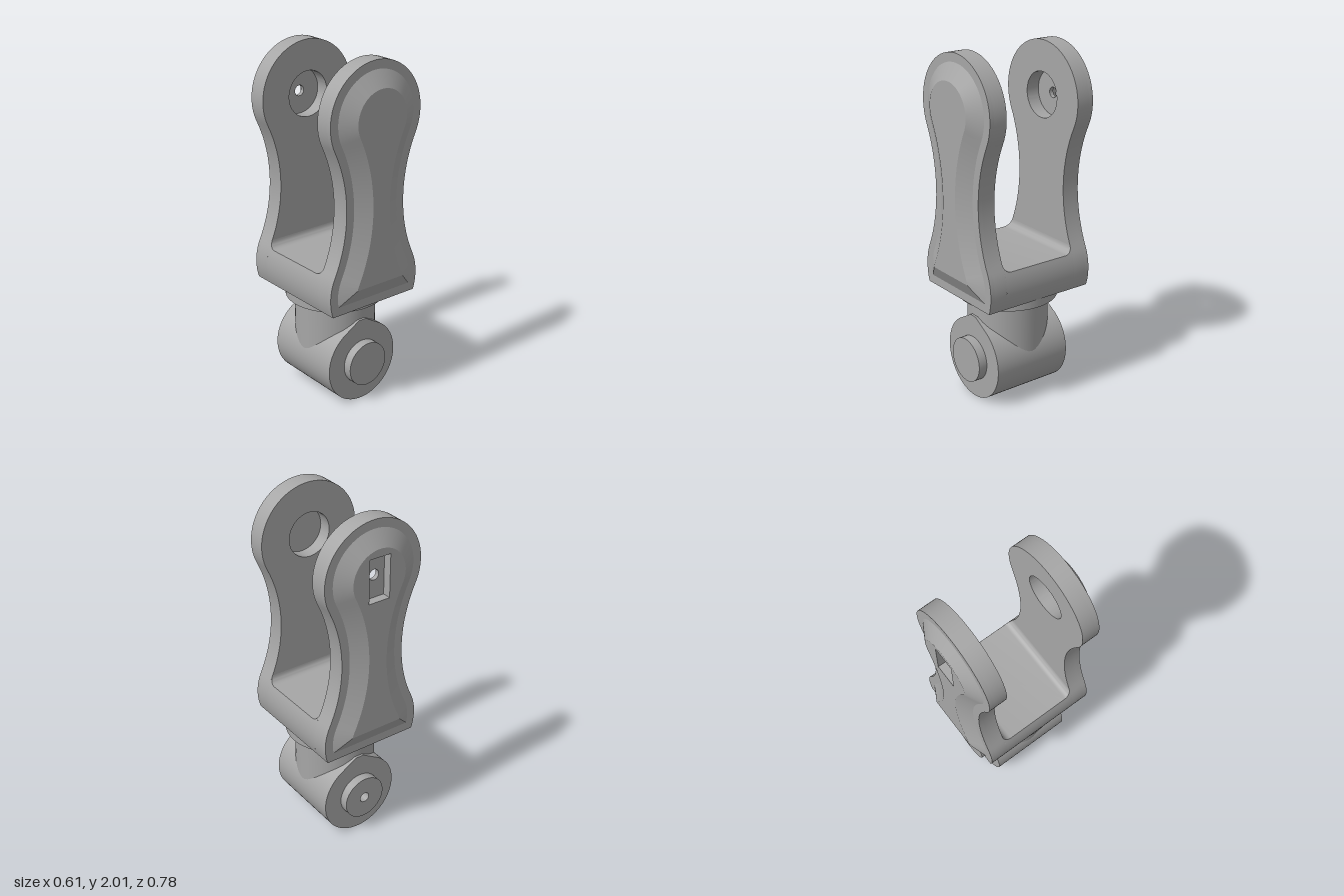
import * as THREE from 'three';
import { toCreasedNormals } from 'three/addons/utils/BufferGeometryUtils.js';

// Arm outline: two end circles joined by a tangent concave arc
const R = 0.305, TOP = 1.7, LOW = 0.74, MID = 1.22, BASE = 0.64;
const WAIST_R = 0.816, WAIST_X = 1.013;
const TH = Math.atan2(TOP - MID, WAIST_X);
const INNER = 0.235, SHOULDER = 0.34, OUTER = 0.39, FLOOR = 0.85;

const steel = new THREE.MeshStandardMaterial({ color: 0xa6a6a6 });
steel.name = 'steel grey';

function outline(d) {
  const half = [];
  const arc = (cx, cy, r, a, b, n) => {
    for (let i = 0; i < n; i++) {
      const t = a + (b - a) * i / n;
      half.push(new THREE.Vector2(cx + r * Math.cos(t), cy + r * Math.sin(t)));
    }
  };
  arc(0, LOW, R - d, Math.asin((BASE + d - LOW) / (R - d)), TH, 10);
  arc(WAIST_X, MID, WAIST_R + d, Math.PI + TH, Math.PI - TH, 20);
  arc(0, TOP, R - d, -TH, Math.PI / 2, 28);
  const left = half.map(p => new THREE.Vector2(-p.x, p.y)).reverse();
  return [...half, new THREE.Vector2(0, TOP + R - d), ...left];
}

// Half width of the outline at a height
function halfWidth(y) {
  if (y < LOW + R * Math.sin(TH)) return Math.sqrt(R * R - (y - LOW) ** 2);
  return WAIST_X - Math.sqrt(WAIST_R ** 2 - (y - MID) ** 2);
}

// Skin closed, counter-clockwise rings stacked along +z
function loft(rings) {
  const n = rings[0].length, pos = [], idx = [];
  rings.forEach(r => r.forEach(p => pos.push(p.x, p.y, p.z)));
  for (let i = 0; i < rings.length - 1; i++) {
    for (let j = 0; j < n; j++) {
      const k = (j + 1) % n, a = i * n + j, b = i * n + k;
      idx.push(a, b, b + n, a, b + n, a + n);
    }
  }
  const g = new THREE.BufferGeometry();
  g.setAttribute('position', new THREE.Float32BufferAttribute(pos, 3));
  g.setIndex(idx);
  return toCreasedNormals(g, 0.4);
}

function circlePath(y, r) {
  return new THREE.Path().absarc(0, y, r, 0, Math.PI * 2, true);
}

function extrude(points, z0, z1, holes = []) {
  const s = new THREE.Shape(points);
  s.holes.push(...holes);
  const g = new THREE.ExtrudeGeometry(s, { depth: z1 - z0, bevelEnabled: false, curveSegments: 40 });
  g.translate(0, 0, z0);
  return toCreasedNormals(g, 0.4);
}

function add(parent, name, geometry) {
  const m = new THREE.Mesh(geometry, steel);
  m.name = name;
  parent.add(m);
  return m;
}

// One fork arm facing +z; the pierced one has a nut pocket and bolt hole
function makeArm(name, pierced) {
  const arm = new THREE.Group();
  arm.name = name;
  const split = 0.315;
  add(arm, 'innerPlate', extrude(outline(0), INNER, split, [circlePath(TOP, 0.13)]));
  add(arm, 'outerPlate', extrude(outline(0), split, SHOULDER, pierced ? [circlePath(TOP, 0.03)] : []));

  // Raised panel with sloping edges
  const at = (pts, z) => pts.map(p => new THREE.Vector3(p.x, p.y, z));
  add(arm, 'panelSlope', loft([at(outline(0.05), SHOULDER), at(outline(0.14), OUTER)]));
  const face = new THREE.Shape(outline(0.14));
  if (pierced) {
    const rect = [[-0.065, 1.57], [-0.065, 1.82], [0.065, 1.82], [0.065, 1.57]]
      .map(([x, y]) => new THREE.Vector2(x, y));
    face.holes.push(new THREE.Path(rect));
    // Clockwise rings turn the pocket walls inward
    add(arm, 'pocketWalls', loft([at(rect, SHOULDER), at(rect, OUTER)]));
  }
  const cap = new THREE.ShapeGeometry(face);
  cap.translate(0, 0, OUTER);
  add(arm, 'panelFace', cap);
  return arm;
}

// Floor of the fork, with fillets rising into both arms
function makeBridge() {
  const f = 0.045, stations = [];
  for (let i = 0; i <= 8; i++) {
    const a = i / 8 * Math.PI / 2;
    stations.push([INNER - f + f * Math.sin(a), FLOOR + f - f * Math.cos(a)]);
  }
  const all = [...stations.map(([z, h]) => [-z, h]).reverse(), ...stations];
  return loft(all.map(([z, h]) => {
    const right = [];
    for (let k = 0; k <= 12; k++) {
      const y = BASE + (h - BASE) * k / 12;
      right.push(new THREE.Vector3(halfWidth(y), y, z));
    }
    const left = right.map(p => new THREE.Vector3(-p.x, p.y, z)).reverse();
    return [...right, ...left];
  }));
}

export function createModel() {
  const model = new THREE.Group();
  model.name = 'forkJoint';

  // Fork
  model.add(makeArm('frontArm', false));
  const back = makeArm('backArm', true);
  back.rotation.y = Math.PI;
  model.add(back);
  add(model, 'bridge', makeBridge());

  // Swivel collar and neck
  add(model, 'collar', new THREE.CylinderGeometry(0.283, 0.283, 0.05, 64)).position.y = 0.615;
  add(model, 'neck', new THREE.CylinderGeometry(0.23, 0.23, 0.36, 64)).position.y = 0.42;

  // Barrel: round below, rising to a blunt ridge that meets the neck
  const r = 0.238, cy = 0.238, apex = 0.285;
  const t = Math.asin(r / apex), profile = [];
  for (let i = 0; i <= 60; i++) {
    const a = Math.PI - t + (Math.PI + 2 * t) * i / 60;
    profile.push(new THREE.Vector2(r * Math.cos(a), cy + r * Math.sin(a)));
  }
  profile.push(new THREE.Vector2(0.025, 0.5), new THREE.Vector2(-0.025, 0.5));
  add(model, 'barrel', extrude(profile, -0.243, 0.243));

  // Pivot bosses, the back one drilled
  const boss = [];
  for (let i = 0; i < 48; i++) {
    const a = i / 48 * Math.PI * 2;
    boss.push(new THREE.Vector2(0.13 * Math.cos(a), 0.24 + 0.13 * Math.sin(a)));
  }
  add(model, 'frontBoss', extrude(boss, 0.243, 0.295));
  add(model, 'backBoss', extrude(boss, -0.295, -0.243, [circlePath(0.24, 0.03)]));
  return model;
}
